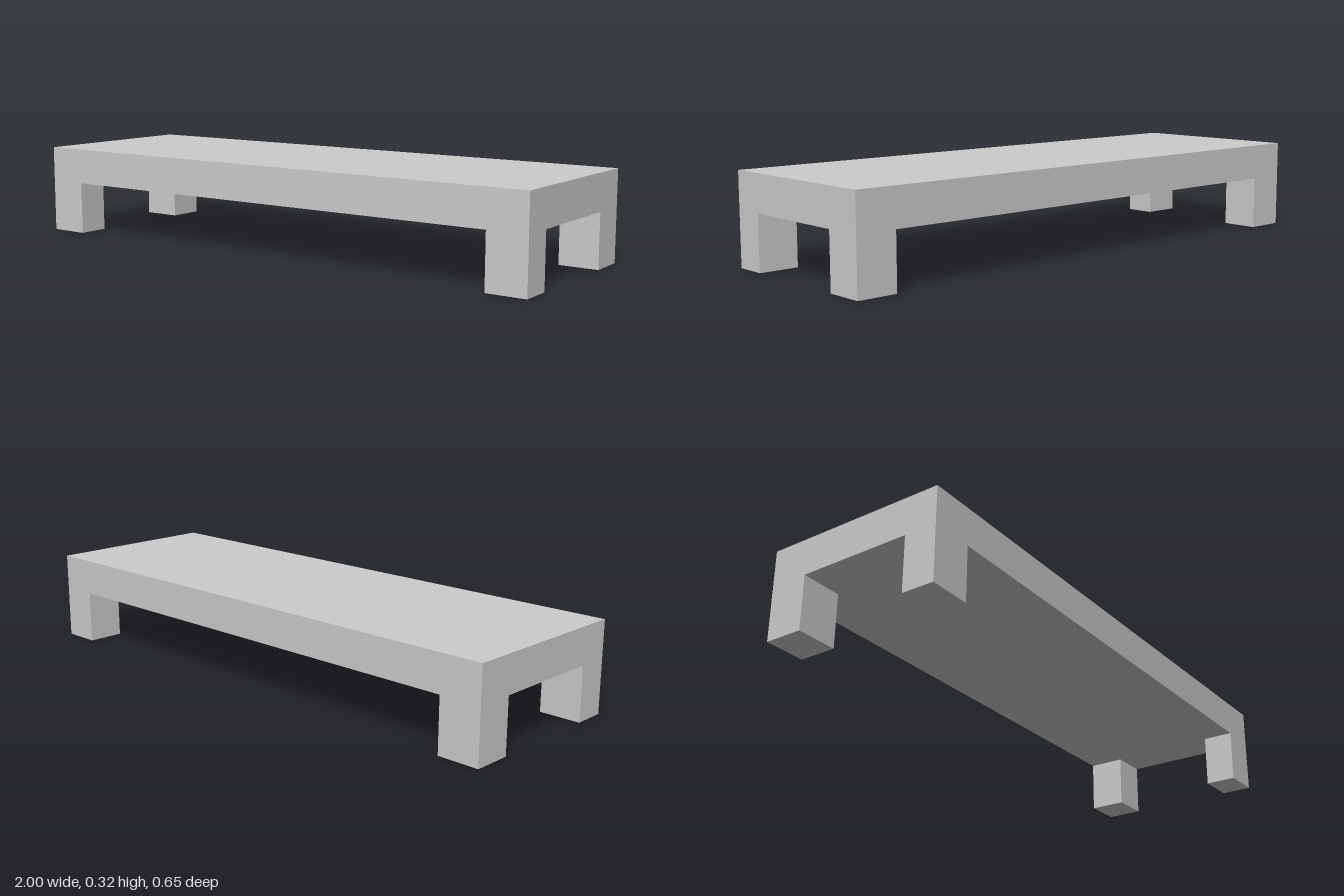
import * as THREE from 'three';

const HALF_X = 1, HALF_Z = 0.323, TOP = 0.318, UNDERSIDE = 0.19;

export function createModel() {
  const model = new THREE.Group();
  model.name = 'lowTable';
  const material = new THREE.MeshStandardMaterial({ color: 0xcccccc, flatShading: true });

  const addBox = (name, w, h, d, x, y, z) => {
    const mesh = new THREE.Mesh(new THREE.BoxGeometry(w, h, d), material);
    mesh.name = name;
    mesh.position.set(x, y, z);
    model.add(mesh);
  };

  // Thick slab top
  addBox('tabletop', HALF_X * 2, TOP - UNDERSIDE, HALF_Z * 2, 0, (TOP + UNDERSIDE) / 2, 0);

  // Corner legs, flush with the slab's sides; width varies by side, depth by front and back
  const sides = [{ name: 'Left', sign: 1, width: 0.139 }, { name: 'Right', sign: -1, width: 0.147 }];
  const ends = [{ name: 'front', sign: 1, depth: 0.113 }, { name: 'back', sign: -1, depth: 0.135 }];
  for (const side of sides) {
    for (const end of ends) {
      addBox(`${end.name}${side.name}Leg`, side.width, UNDERSIDE, end.depth,
        side.sign * (HALF_X - side.width / 2), UNDERSIDE / 2, end.sign * (HALF_Z - end.depth / 2));
    }
  }
  return model;
}
